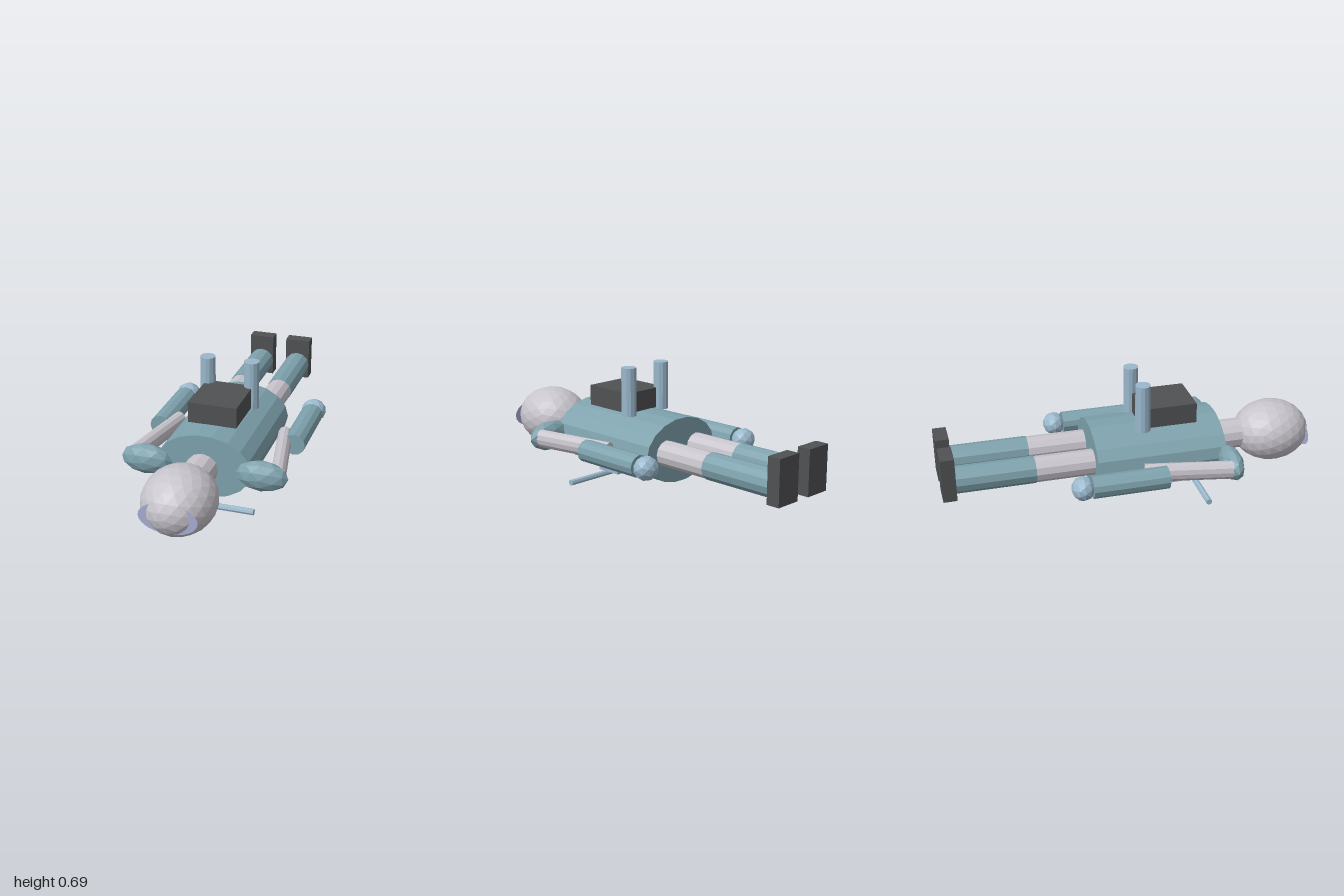
import * as THREE from 'three';

const mat = (color, side = THREE.FrontSide) =>
  new THREE.MeshStandardMaterial({ color, flatShading: true, side });

export function createModel() {
  const model = new THREE.Group();
  model.name = 'lyingFigure';

  const suit = mat(0x7ea2ad);
  const skin = mat(0xc8c4cc);
  const dark = mat(0x505154);
  const metal = mat(0x9ab8cc);
  const visor = mat(0xa8aed6, THREE.DoubleSide);

  const add = (name, geometry, material, x, y, z) => {
    const mesh = new THREE.Mesh(geometry, material);
    mesh.name = name;
    mesh.position.set(x, y, z);
    model.add(mesh);
    return mesh;
  };

  // Elliptical cylinder lying along z, with a vertex on the +x side
  const alongZ = (rx, ry, length, sides) =>
    new THREE.CylinderGeometry(1, 1, length, sides)
      .rotateY(Math.PI / 2).rotateX(Math.PI / 2).scale(rx, ry, 1);

  // Faceted ellipsoid with its pole along z
  const facetBall = (rx, ry, rz, detail) =>
    new THREE.IcosahedronGeometry(1, detail)
      .rotateX(Math.atan(2 / (1 + Math.sqrt(5)))).scale(rx, ry, rz);

  // Body and head
  add('torso', alongZ(0.245, 0.168, 0.68, 18), suit, 0, 0.28, 0.12);
  add('neck', alongZ(0.082, 0.079, 0.13, 12), skin, 0, 0.282, 0.545);
  add('head', facetBall(0.182, 0.163, 0.205, 3), skin, 0, 0.28, 0.795);
  add('crownDisc', new THREE.CircleGeometry(1, 24).scale(0.145, 0.08, 1), visor, 0, 0.268, 0.96);

  // Back box, chest plate and crossbar
  add('backBox', new THREE.BoxGeometry(0.252, 0.107, 0.29), dark, 0, 0.498, 0.183);
  add('chestPlate', new THREE.BoxGeometry(0.163, 0.02, 0.145), metal, 0, 0.085, 0.243);
  add('crossbar', new THREE.CylinderGeometry(0.0165, 0.0165, 0.47, 8).rotateZ(Math.PI / 2),
    metal, 0, 0.0165, 0.378);

  for (const [side, s] of [['left', 1], ['right', -1]]) {
    // Upright tube on the back
    add(side + 'Tube', new THREE.CylinderGeometry(0.04, 0.04, 0.253, 12), metal, s * 0.117, 0.561, 0.042);

    // Leg
    add(side + 'Thigh', alongZ(0.068, 0.067, 0.31, 12), skin, s * 0.11, 0.283, -0.37);
    add(side + 'Shin', alongZ(0.071, 0.07, 0.405, 12), suit, s * 0.11, 0.283, -0.7275);
    add(side + 'Foot', new THREE.BoxGeometry(0.14, 0.233, 0.07), dark, s * 0.11, 0.317, -0.965);

    // Arm
    add(side + 'Shoulder', facetBall(0.133, 0.08, 0.057, 1), suit, s * 0.298, 0.28, 0.464);
    const upperArm = add(side + 'UpperArm', alongZ(0.038, 0.049, 0.45, 12), skin, s * 0.333, 0.282, 0.226);
    upperArm.rotation.y = s * 0.19;
    add(side + 'Forearm', alongZ(0.059, 0.057, 0.39, 12), suit, s * 0.362, 0.283, -0.09);
    add(side + 'Hand', facetBall(0.067, 0.062, 0.06, 1), metal, s * 0.361, 0.283, -0.33);
  }
  return model;
}
